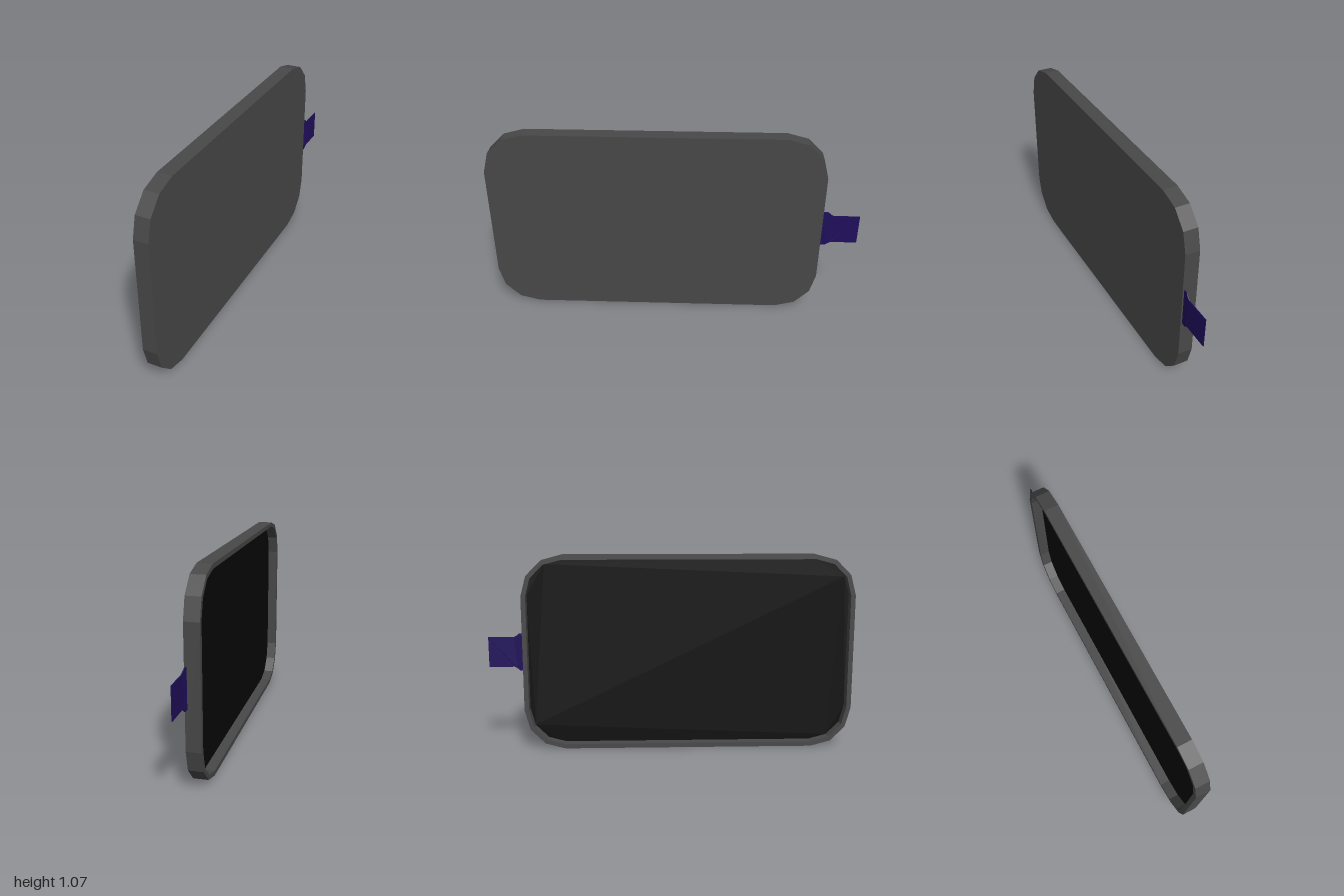
import * as THREE from 'three';

const H = 1.067, BACK = -0.805, FRONT = 1, R = 0.22, X = 0.039;
const RIM = 0.025, FLOOR = 0.018; // rim width, x of the back plate's inner face

// Rounded rectangle in (-z, y): three straight segments per corner
function outline(inset) {
  const r = R - inset, pts = [];
  const corners = [[-BACK - R, H - R], [-FRONT + R, H - R], [-FRONT + R, R], [-BACK - R, R]];
  corners.forEach(([cx, cy], q) => {
    for (let i = 0; i <= 3; i++) {
      const a = (q + i / 3) * Math.PI / 2;
      pts.push(new THREE.Vector2(cx + r * Math.cos(a), cy + r * Math.sin(a)));
    }
  });
  return pts;
}

// Extrude a side-on shape between two x positions
function slab(name, shape, x0, x1, material) {
  const geo = new THREE.ExtrudeGeometry(shape, { depth: x1 - x0, bevelEnabled: false });
  geo.translate(0, 0, x0).rotateY(Math.PI / 2);
  const mesh = new THREE.Mesh(geo, material);
  mesh.name = name;
  return mesh;
}

export function createModel() {
  const model = new THREE.Group();
  model.name = 'displayPanel';
  const mat = (color) => new THREE.MeshStandardMaterial({ color, flatShading: true });
  const casing = mat(0x484848), glass = mat(0x080808), ribbon = mat(0x200f5c);
  ribbon.side = THREE.DoubleSide;

  // Casing: raised rim around a closed back plate
  const rim = new THREE.Shape(outline(0));
  rim.holes.push(new THREE.Path(outline(RIM)));
  model.add(slab('rim', rim, -X, X, casing));
  model.add(slab('backPlate', new THREE.Shape(outline(RIM)), FLOOR, X, casing));

  // Dark screen on the recess floor
  model.add(slab('screen', new THREE.Shape(outline(RIM)), FLOOR - 0.003, FLOOR, glass));

  // Ribbon cable: half outline mirrored about mid height, bent towards the casing
  const half = [[1, 0.083], [0.86, 0.083], [0.845, 0.092], [0.83, 0.104], [0.79, 0.104]];
  const pts = [...half, ...half.map(([u, v]) => [u, -v]).reverse()]
    .map(([u, v]) => new THREE.Vector2(u, H / 2 + v));
  const cable = slab('ribbonCable', new THREE.Shape(pts), 0.033, 0.037, ribbon);
  const p = cable.geometry.attributes.position;
  for (let i = 0; i < p.count; i++) {
    const bend = THREE.MathUtils.smoothstep(p.getZ(i), -0.86, -0.8);
    p.setX(i, p.getX(i) - 0.008 * bend);
  }
  cable.geometry.computeVertexNormals();
  model.add(cable);
  return model;
}
